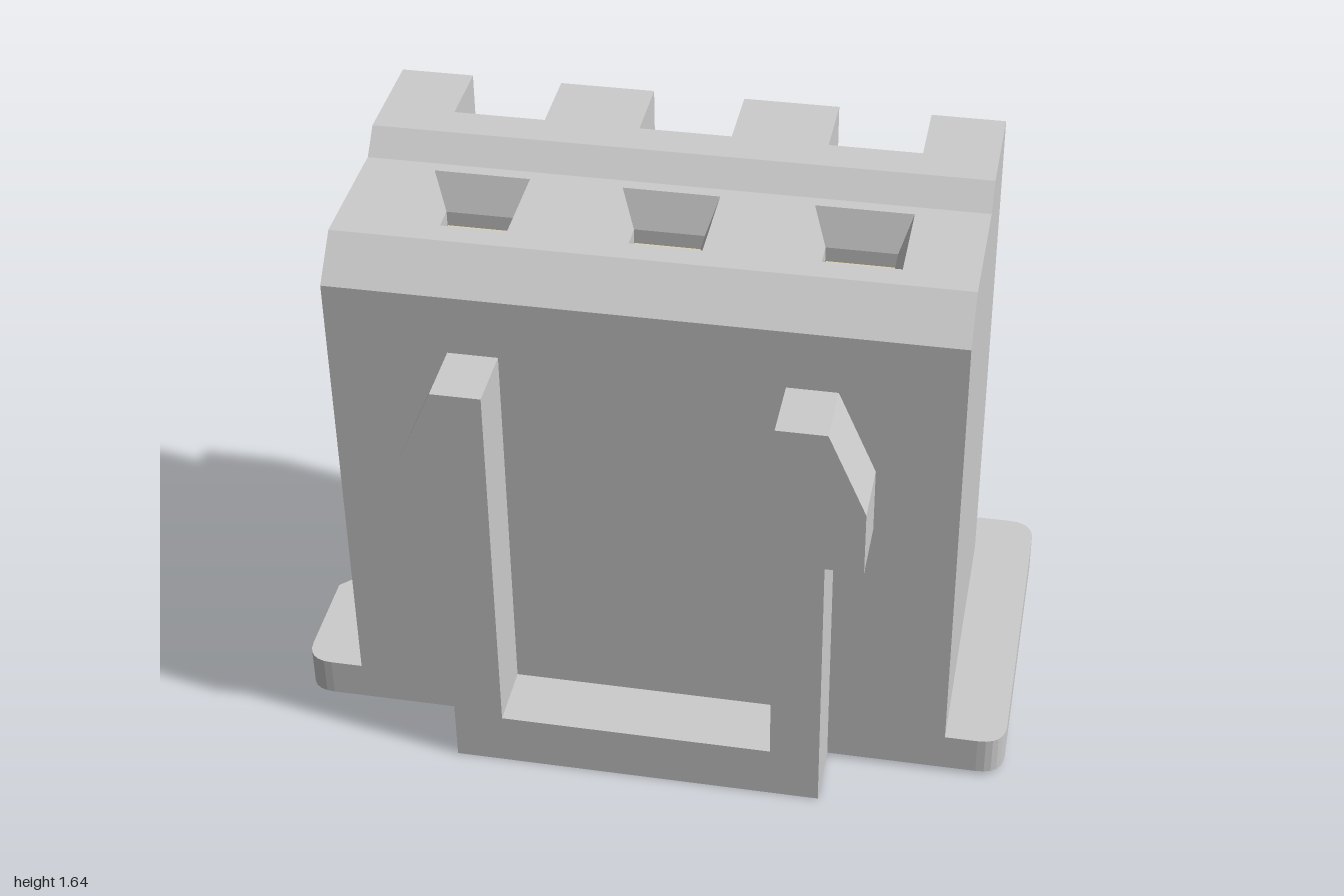
import * as THREE from 'three';

const grey = new THREE.MeshStandardMaterial({ color: 0xcccccc, flatShading: true, side: THREE.DoubleSide });
const brass = new THREE.MeshStandardMaterial({ color: 0xddd0a8, side: THREE.DoubleSide });
const WAYS = [-0.51, 0, 0.51];
const HALF = 0.835, FRONT = 0.363, BACK = -0.477;
const SLOT_Z = -0.275, SLOT_W = 0.125, SLOT_Y = 0.97;

const polygon = pts => new THREE.Shape(pts.map(([a, b]) => new THREE.Vector2(a, b)));
const rect = (x0, x1, z0, z1) => [[x0, z0], [x1, z0], [x1, z1], [x0, z1]];

export function createModel() {
  const root = new THREE.Group();
  root.name = 'connectorHousing';
  const tilted = new THREE.Group();
  tilted.name = 'tiltedHousing';
  tilted.rotation.x = 0.06;
  tilted.position.y = 0.033;
  root.add(tilted);

  const add = (name, geo, mat = grey) => {
    const m = new THREE.Mesh(geo, mat);
    m.name = name;
    tilted.add(m);
    return m;
  };
  const box = (name, x0, x1, y0, y1, z0, z1, mat) =>
    add(name, new THREE.BoxGeometry(x1 - x0, y1 - y0, z1 - z0)
      .translate((x0 + x1) / 2, (y0 + y1) / 2, (z0 + z1) / 2), mat);
  // plan outline (x, z) raised from y0 to y1, with an equal hole at each way
  const slab = (name, shape, y0, y1, hole) => {
    if (hole) for (const c of WAYS)
      shape.holes.push(new THREE.Path(hole.map(([x, z]) => new THREE.Vector2(x + c, z))));
    const g = new THREE.ExtrudeGeometry(shape, { depth: y1 - y0, bevelEnabled: false, curveSegments: 6 });
    return add(name, g.rotateX(Math.PI / 2).translate(0, y1, 0));
  };
  // side outline (z, y) swept across x, centred on cx
  const sweep = (name, pts, width, cx = 0, mat = grey) =>
    add(name, new THREE.ExtrudeGeometry(polygon(pts), { depth: width, bevelEnabled: false })
      .rotateY(-Math.PI / 2).translate(cx + width / 2, 0, 0), mat);

  // wire entry outline with a narrower key at the back
  const entry = [[-0.215, 0.31], [0.215, 0.31], [0.215, -0.14], [0.12, -0.14],
    [0.12, -0.24], [-0.12, -0.24], [-0.12, -0.14], [-0.215, -0.14]];

  // base flange: rounded corners and a V notch on one end
  const f = new THREE.Shape(), r = 0.075, zb = -0.617;
  f.moveTo(-1 + r, zb);
  f.lineTo(1 - r, zb);
  f.quadraticCurveTo(1, zb, 1, zb + r);
  f.lineTo(1, FRONT - r);
  f.quadraticCurveTo(1, FRONT, 1 - r, FRONT);
  f.lineTo(-1 + r, FRONT);
  f.quadraticCurveTo(-1, FRONT, -1, FRONT - r);
  f.lineTo(-1, 0.03);
  f.lineTo(-HALF, -0.135);
  f.lineTo(-1, -0.3);
  f.lineTo(-1, zb + r);
  f.quadraticCurveTo(-1, zb, -1 + r, zb);
  slab('flange', f, 0, 0.113, entry);

  // body in levels: wire cavities, terminal channels, slotted upper part
  const outline = () => polygon(rect(-HALF, HALF, BACK, FRONT));
  slab('lowerBody', outline(), 0.113, 0.32, entry);
  slab('middleBody', outline(), 0.32, SLOT_Y, rect(-0.1, 0.1, -0.035, 0.2));
  const slotted = [[HALF, BACK], [HALF, FRONT], [-HALF, FRONT], [-HALF, BACK]];
  for (const c of WAYS) slotted.push([c - SLOT_W, BACK], [c - SLOT_W, SLOT_Z], [c + SLOT_W, SLOT_Z], [c + SLOT_W, BACK]);
  slab('upperBody', polygon(slotted), SLOT_Y, 1.421, rect(-0.095, 0.095, -0.035, 0.155));

  // top: chamfered front edge, stepped ridge, ribs and webs between the openings
  sweep('frontChamfer', [[0.19, 1.421], [FRONT, 1.421], [0.259, 1.525], [0.19, 1.525]], 2 * HALF);
  sweep('rearRidge', [[SLOT_Z, 1.421], [-0.07, 1.421], [-0.07, 1.524], [-0.107, 1.524],
    [-0.17, 1.586], [SLOT_Z, 1.586]], 2 * HALF);
  const spans = half => {
    const e = [-HALF, ...WAYS.flatMap(c => [c - half, c + half]), HALF];
    return [0, 2, 4, 6].map(i => [e[i], e[i + 1]]);
  };
  for (const [a, b] of spans(SLOT_W)) box('rearRib', a, b, 1.421, 1.586, BACK, SLOT_Z);
  for (const [a, b] of spans(0.13)) box('topWeb', a, b, 1.421, 1.525, -0.07, 0.19);

  for (const c of WAYS) {
    // tapered pin entry
    add('pinFunnel', new THREE.CylinderGeometry(0.13 * Math.SQRT2, 0.095 * Math.SQRT2, 0.104, 4, 1, true)
      .rotateY(Math.PI / 4).translate(c, 1.473, 0.06));
    // locking leaf in the rear slot, with a curled tip and a cross tab
    sweep('lockingLeaf', [[-0.455, 0.98], [-0.435, 0.98], [-0.325, 1.28], [-0.32, 1.42], [-0.3, 1.44],
      [-0.28, 1.42], [-0.28, 1.45], [-0.3, 1.475], [-0.325, 1.465], [-0.345, 1.43], [-0.345, 1.28]], 0.14, c, brass);
    box('leafTab', c - 0.12, c + 0.12, 1.35, 1.39, -0.325, -0.277, brass);
    // contact plate and bowed spring inside the pin channel
    box('contactPlate', c - 0.093, c + 0.093, 0.95, 1.36, 0.125, 0.15, brass);
    sweep('contactSpring', [[-0.033, 1.38], [-0.02, 1.38], [0.03, 1.2], [0.0, 0.95], [-0.033, 0.95]], 0.186, c, brass);
  }

  // front latch: foot bar and two hooked arms
  box('latchBar', -0.375, 0.375, 0, 0.155, FRONT, 0.547);
  for (const s of [1, -1]) {
    const arm = polygon([[0.375, 0], [0.51, 0], [0.51, 0.822], [0.612, 0.822], [0.612, 1.012],
      [0.51, 1.25], [0.375, 1.25]].map(([x, y]) => [s * x, y]));
    add('latchArm', new THREE.ExtrudeGeometry(arm, { depth: 0.547 - FRONT, bevelEnabled: false })
      .translate(0, 0, FRONT));
  }
  return root;
}
